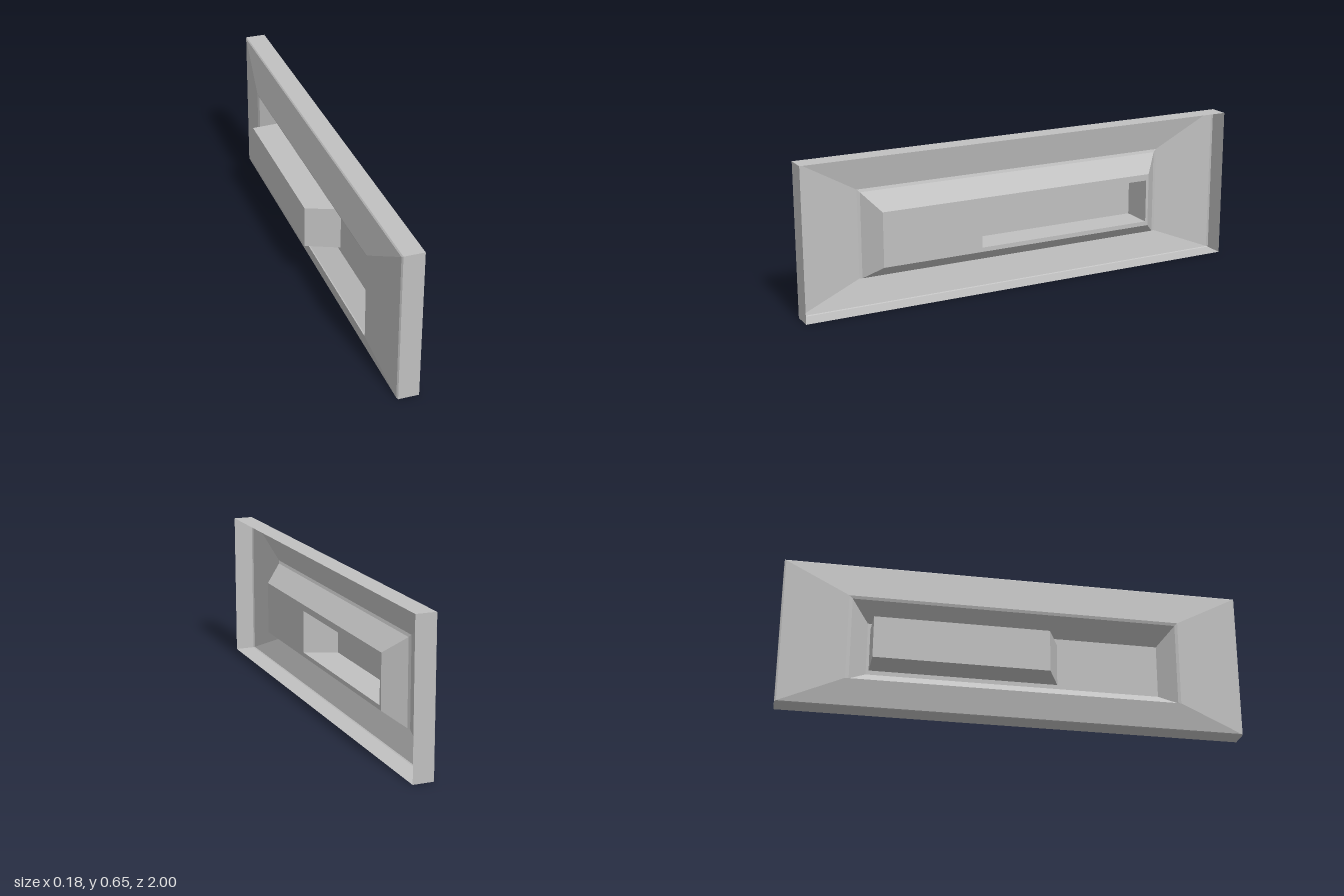
import * as THREE from 'three';

// Rectangular cross-section at depth x: z from back to front, y from low to high
const ring = (x, zBack, zFront, yLow, yHigh) => [
  [x, yLow, zBack], [x, yLow, zFront], [x, yHigh, zFront], [x, yHigh, zBack],
];

// Joins successive rectangles with flat strips, optionally closing the last one
function loft(name, rings, material, cap) {
  const pos = [];
  const quad = (a, b, c, d) => pos.push(...a, ...b, ...c, ...a, ...c, ...d);
  for (let i = 0; i < rings.length - 1; i++) {
    for (let j = 0; j < 4; j++) {
      const k = (j + 1) % 4;
      quad(rings[i][j], rings[i][k], rings[i + 1][k], rings[i + 1][j]);
    }
  }
  if (cap) quad(...rings[rings.length - 1]);
  const geometry = new THREE.BufferGeometry();
  geometry.setAttribute('position', new THREE.Float32BufferAttribute(pos, 3));
  geometry.computeVertexNormals();
  const mesh = new THREE.Mesh(geometry, material);
  mesh.name = name;
  return mesh;
}

export function createModel() {
  const group = new THREE.Group();
  group.name = 'recessedHandlePlate';
  const grey = new THREE.MeshStandardMaterial({ color: 0xc0c0c0, side: THREE.DoubleSide });
  grey.name = 'plainGrey';

  const rim = ring(0, -1, 1, 0, 0.655);
  const bevel = ring(-0.005, -0.993, 0.993, 0.003, 0.65);
  const lipOuter = ring(-0.035, -0.72, 0.72, 0.112, 0.494);
  const lipInner = ring(-0.03, -0.705, 0.708, 0.113, 0.482);
  const floorEdge = ring(0.05, -0.63, 0.643, 0.172, 0.409);
  const opening = ring(0.05, -0.618, 0.195, 0.191, 0.381);
  const tip = ring(-0.09, -0.616, 0.135, 0.192, 0.378);

  // Open-backed shell: side walls, small bevel and sloping face
  group.add(loft('plateWalls', [ring(0.087, -1, 1, 0, 0.655), rim], grey));
  group.add(loft('slopingFace', [rim, bevel, lipOuter], grey));
  // Sunken tray with an opening in its floor
  group.add(loft('tray', [lipOuter, lipInner, floorEdge, opening], grey));
  // Hollow handle standing out of the tray, slanted at its front end
  group.add(loft('handle', [opening, tip], grey, true));
  return group;
}
